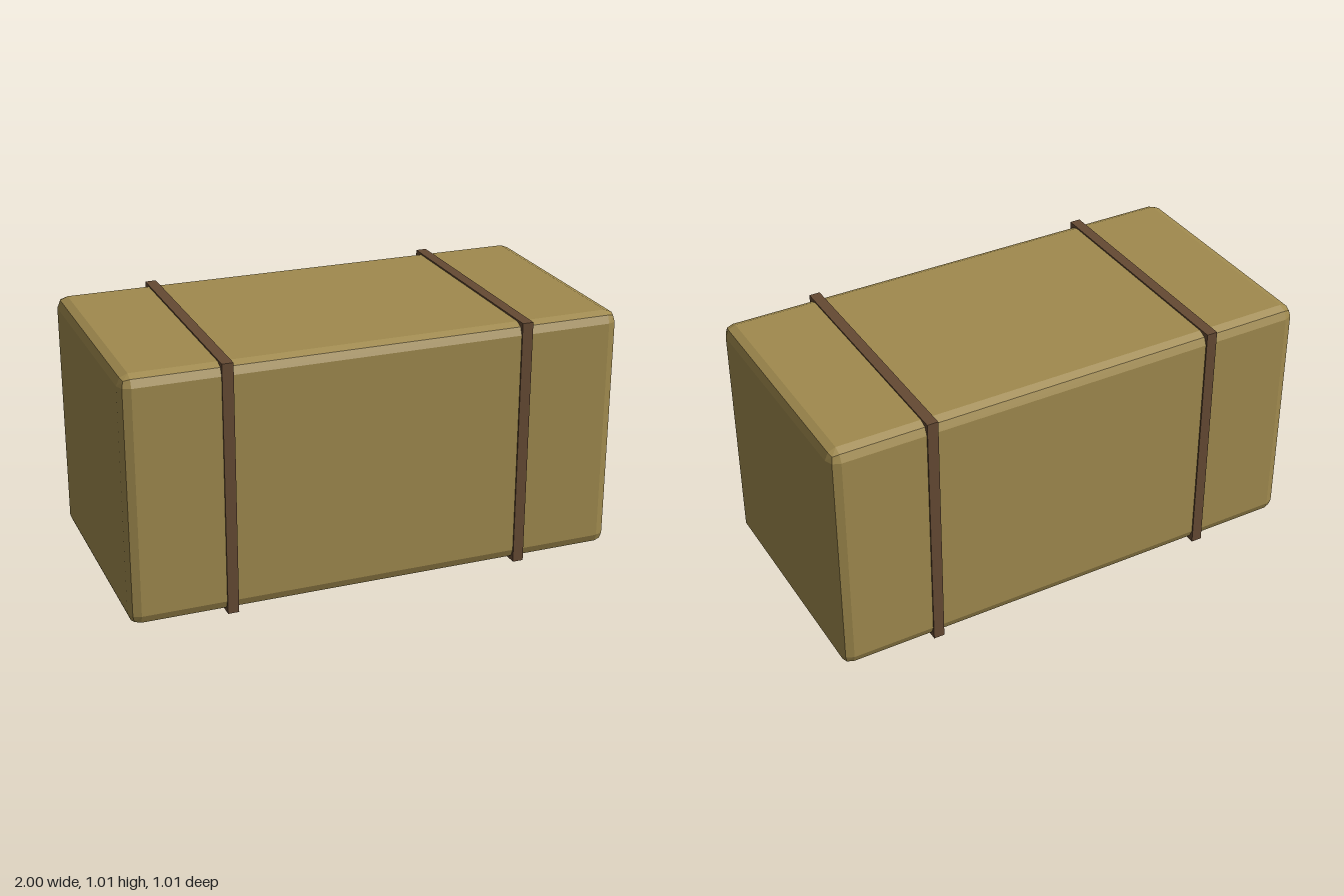
import * as THREE from 'three';
import { RoundedBoxGeometry } from 'three/addons/geometries/RoundedBoxGeometry.js';

const STRAP = 1.0125; // outer size of the straps, which the model stands on

function addPart(group, name, geometry, color, x = 0) {
  const material = new THREE.MeshStandardMaterial({ color, flatShading: true });
  const mesh = new THREE.Mesh(geometry, material);
  mesh.name = name;
  mesh.position.set(x, STRAP / 2, 0);
  group.add(mesh);
}

export function createModel() {
  const group = new THREE.Group();
  group.name = 'strappedBale';

  // Bale body with faceted soft edges
  addPart(group, 'bale', new RoundedBoxGeometry(2, 1, 1, 1, 0.044), 0xa08a4e);

  // Two straps wrapped around the bale, showing just above its surface
  for (const [name, x] of [['leftStrap', 0.6], ['rightStrap', -0.6]]) {
    addPart(group, name, new THREE.BoxGeometry(0.044, STRAP, STRAP), 0x654a33, x);
  }
  return group;
}
